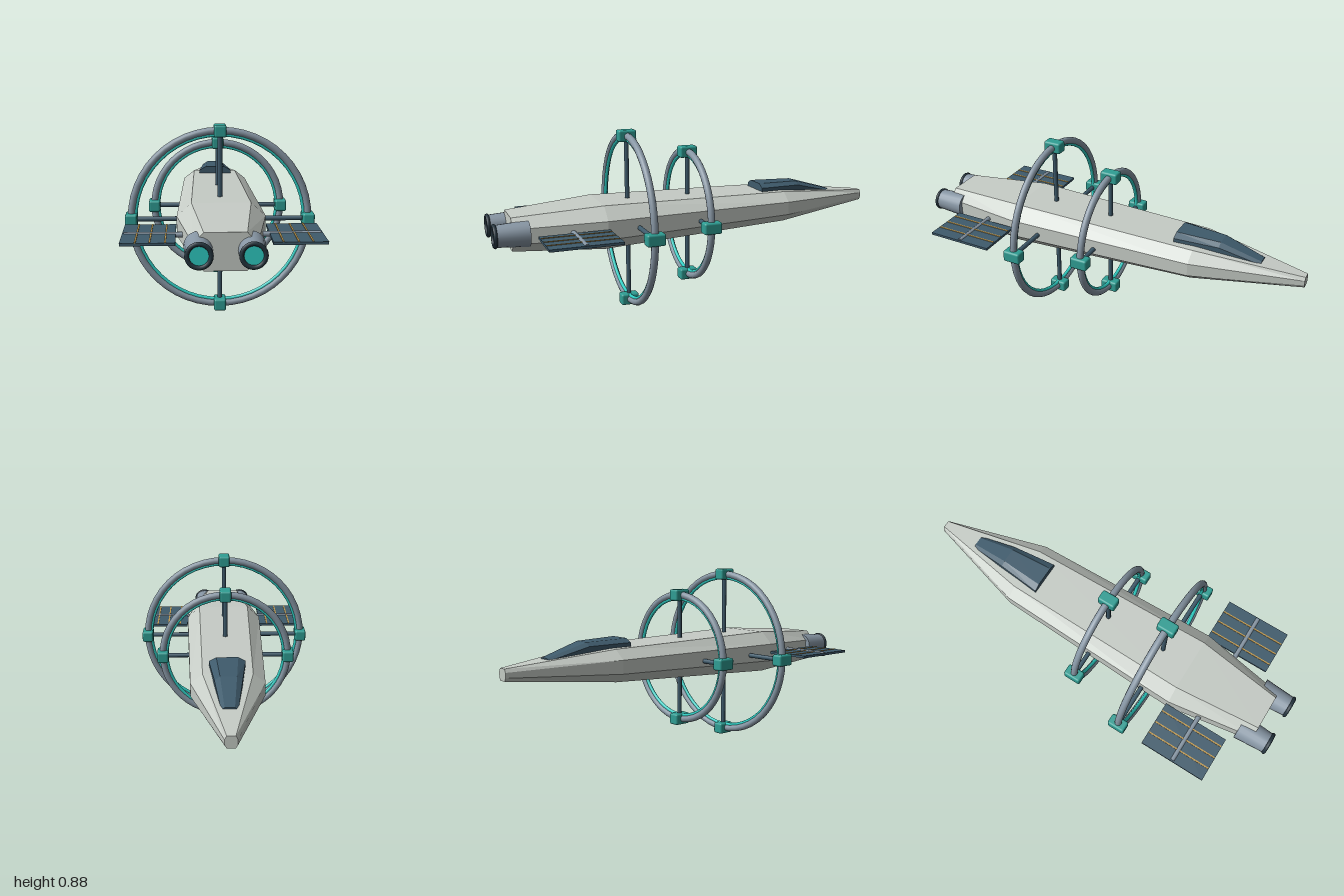
import * as THREE from 'three';
import { RoundedBoxGeometry } from 'three/addons/geometries/RoundedBoxGeometry.js';

const AXIS_Y = 0.443; // height of the ship's long axis

const mat = (name, color, extra = {}) => {
  const m = new THREE.MeshStandardMaterial({ color, ...extra });
  m.name = name;
  return m;
};

// Chamfered eight-sided section, counter-clockwise seen from +z
function section([z, hw, y0, y1], kx, ky) {
  const c = (y0 + y1) / 2, h = (y1 - y0) / 2, a = hw * kx, b = h * ky;
  return [[hw, -b], [hw, b], [a, h], [-a, h], [-hw, b], [-hw, -b], [-a, -h], [a, -h]]
    .map(([x, y]) => [x, c + y, z]);
}

// Faceted skin over sections ordered by rising z, closed at both ends
function loft(rows, kx, ky) {
  const rings = rows.map((r) => section(r, kx, ky));
  const p = [];
  const tri = (...v) => v.forEach((q) => p.push(...q));
  for (let s = 0; s < rings.length - 1; s++) {
    const a = rings[s], b = rings[s + 1];
    for (let i = 0; i < 8; i++) {
      const j = (i + 1) % 8;
      tri(a[i], a[j], b[j]);
      tri(a[i], b[j], b[i]);
    }
  }
  const first = rings[0], last = rings[rings.length - 1];
  for (let i = 1; i < 7; i++) {
    tri(first[0], first[i + 1], first[i]);
    tri(last[0], last[i], last[i + 1]);
  }
  const g = new THREE.BufferGeometry();
  g.setAttribute('position', new THREE.Float32BufferAttribute(p, 3));
  g.computeVertexNormals();
  return g;
}

export function createModel() {
  const root = new THREE.Group();
  root.name = 'ringShip';

  const hullMat = mat('pale hull', 0xc6ccc6, { flatShading: true });
  const steel = mat('steel grey', 0x8796a4);
  const slate = mat('slate blue', 0x3f5b6c);
  const teal = mat('teal', 0x2f9e94);
  const glow = mat('cyan glow', 0x2fd0c6);
  const dark = mat('dark rim', 0x24343e);
  const gold = mat('gold', 0xc09a50);

  const add = (parent, name, geo, material, x = 0, y = 0, z = 0) => {
    const m = new THREE.Mesh(geo, material);
    m.name = name;
    m.position.set(x, y, z);
    parent.add(m);
    return m;
  };

  // Hull and canopy
  add(root, 'hull', loft([
    [-1, 0.027, 0.435, 0.49],
    [-0.48, 0.17, 0.385, 0.538],
    [0.48, 0.2, 0.34, 0.55],
    [0.91, 0.13, 0.36, 0.52],
  ], 0.67, 0.42), hullMat);
  add(root, 'canopy', loft([
    [-0.79, 0.036, 0.46, 0.515],
    [-0.59, 0.062, 0.48, 0.572],
    [-0.37, 0.085, 0.48, 0.576],
  ], 0.6, 0.62), slate);

  // Rings, each with an inner glow band, four nodes and four struts
  for (const [name, z, radius] of [['smallRing', 0.01, 0.317], ['largeRing', 0.326, 0.413]]) {
    const ring = new THREE.Group();
    ring.name = name;
    ring.position.set(0, AXIS_Y, z);
    root.add(ring);
    add(ring, 'ringTube', new THREE.TorusGeometry(radius, 0.0175, 12, 48), steel);
    add(ring, 'glowBand', new THREE.TorusGeometry(radius - 0.019, 0.009, 8, 48), glow);
    for (let i = 0; i < 4; i++) {
      const spoke = new THREE.Group();
      spoke.name = 'spoke';
      spoke.rotation.z = i * Math.PI / 2;
      ring.add(spoke);
      add(spoke, 'node', new RoundedBoxGeometry(0.057, 0.057, 0.09, 2, 0.01), teal, 0, radius);
      const length = radius - 0.06;
      add(spoke, 'strut', new THREE.CylinderGeometry(0.0115, 0.0115, length, 10), slate,
        0, 0.06 + length / 2);
    }
  }

  for (const side of [-1, 1]) {
    // Engine: tapered body, dark rim and glowing nozzle
    const engine = new THREE.Group();
    engine.name = side > 0 ? 'leftEngine' : 'rightEngine';
    engine.position.set(side * 0.107, 0.445, 0);
    root.add(engine);
    add(engine, 'engineBody', new THREE.CylinderGeometry(0.052, 0.062, 0.15, 20), steel, 0, 0, 0.908)
      .rotation.x = Math.PI / 2;
    add(engine, 'nozzleRim', new THREE.TorusGeometry(0.048, 0.0095, 10, 28), dark, 0, 0, 0.99);
    add(engine, 'nozzleGlow', new THREE.CylinderGeometry(0.043, 0.043, 0.008, 28), glow, 0, 0, 0.985)
      .rotation.x = Math.PI / 2;

    // Solar wing: boom, panel and gold strips
    const wing = new THREE.Group();
    wing.name = side > 0 ? 'leftSolarWing' : 'rightSolarWing';
    wing.position.set(0, 0.445, 0.64);
    root.add(wing);
    add(wing, 'boom', new THREE.CylinderGeometry(0.012, 0.012, 0.29, 10), steel, side * 0.28)
      .rotation.z = Math.PI / 2;
    add(wing, 'panel', new THREE.BoxGeometry(0.23, 0.012, 0.336), slate, side * 0.317);
    for (const x of [0.244, 0.308, 0.368]) {
      add(wing, 'goldStrip', new THREE.BoxGeometry(0.007, 0.004, 0.33), gold, side * x, 0.007);
    }
  }
  return root;
}
